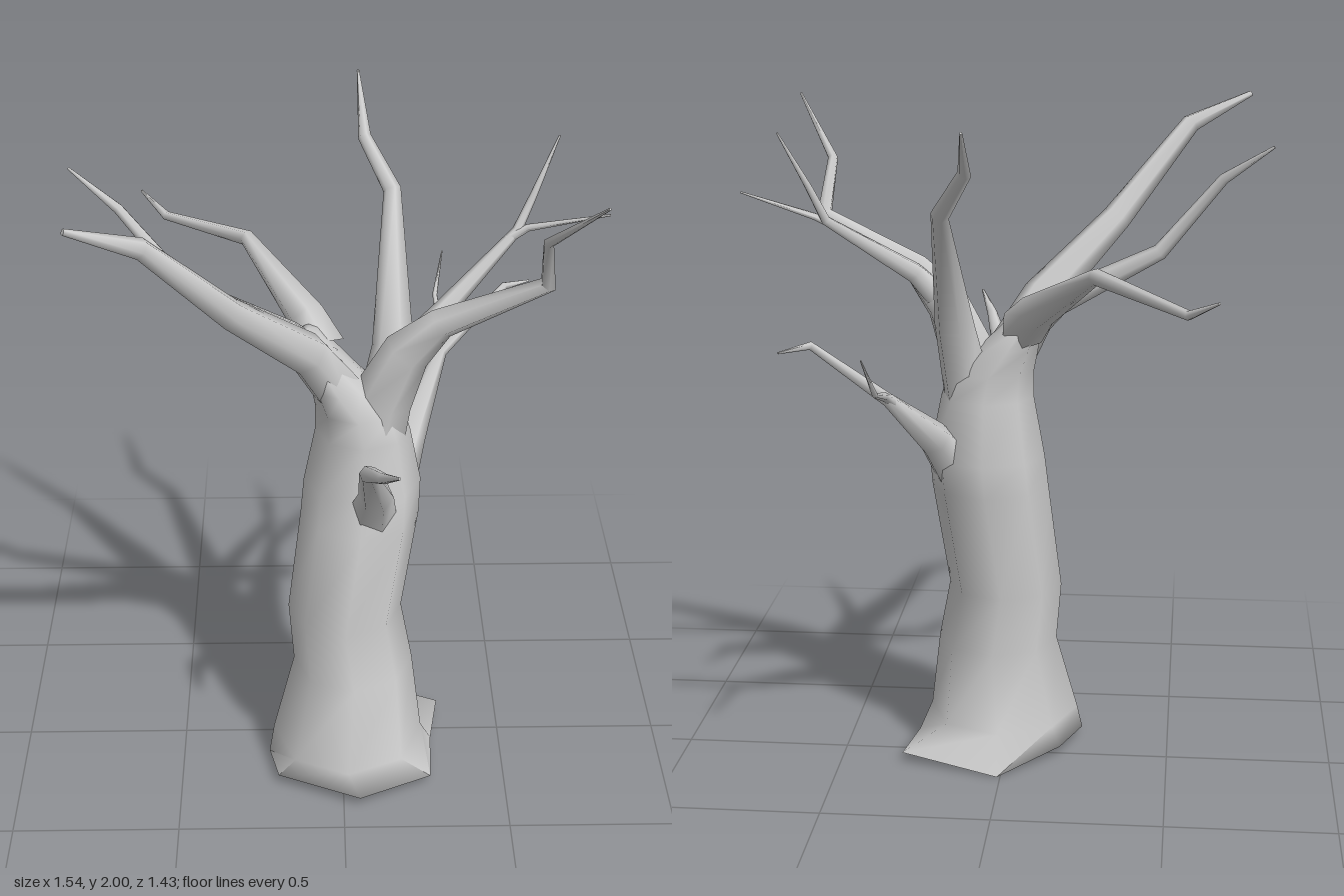
import * as THREE from 'three';
import { toCreasedNormals } from 'three/addons/utils/BufferGeometryUtils.js';

const V = (x, y, z) => new THREE.Vector3(x, y, z);
const bark = new THREE.MeshStandardMaterial({ color: 0xcccccc });

// Skin a list of equally long rings of points; a collapsed ring makes a closed end.
function skin(name, rings, crease) {
  const n = rings[0].length;
  const idx = [];
  const collapsed = rings.map((r) => r[0].distanceTo(r[1]) < 1e-6);
  for (let i = 0; i < rings.length - 1; i++) {
    for (let j = 0; j < n; j++) {
      const a = i * n + j, b = i * n + ((j + 1) % n);
      if (!collapsed[i]) idx.push(a, b, b + n);
      if (!collapsed[i + 1]) idx.push(a, b + n, a + n);
    }
  }
  let geo = new THREE.BufferGeometry().setFromPoints(rings.flat());
  geo.setIndex(idx);
  geo = toCreasedNormals(geo, crease);
  const mesh = new THREE.Mesh(geo, bark);
  mesh.name = name;
  return mesh;
}

// Tapering bent limb through points [x, y, z, radius], ending in a point.
function limb(name, pts, sides = 6) {
  const p = pts.map(([x, y, z]) => V(x, y, z));
  const u = V(0.31, 0.1, 0.95);
  const rings = p.map((c, i) => {
    const t = V(0, 0, 0);
    if (i > 0) t.add(c.clone().sub(p[i - 1]).normalize());
    if (i < p.length - 1) t.add(p[i + 1].clone().sub(c).normalize());
    t.normalize();
    u.addScaledVector(t, -u.dot(t)).normalize();
    const v = t.clone().cross(u);
    return Array.from({ length: sides }, (_, j) => {
      const a = (j / sides) * Math.PI * 2;
      return c.clone()
        .addScaledVector(u, Math.cos(a) * pts[i][3])
        .addScaledVector(v, Math.sin(a) * pts[i][3]);
    });
  });
  const end = p[p.length - 1];
  rings.push(Array.from({ length: sides }, () => end.clone()));
  return skin(name, rings, 1.3);
}

// Trunk: uneven root footprint, then eight-sided ovals [y, xMin, xMax, zMin, zMax]
// that lean to the right where the left bough leaves.
function trunk() {
  const foot = [
    [0.28, 0.03, 0.09], [0.31, 0.03, -0.11], [0.01, 0, -0.2], [-0.17, 0.03, -0.02],
    [-0.23, 0.03, 0.15], [-0.2, 0.03, 0.28], [0.05, 0.03, 0.4], [0.27, 0.03, 0.29],
  ].map((c) => V(...c));
  const levels = [
    [0.11, -0.215, 0.245, -0.135, 0.385],
    [0.35, -0.15, 0.215, -0.1, 0.295],
    [0.53, -0.165, 0.18, -0.1, 0.26],
    [0.85, -0.125, 0.23, -0.12, 0.24],
    [0.95, -0.115, 0.235, -0.13, 0.205],
    [1.13, -0.08, 0.2, -0.09, 0.2],
    [1.21, -0.08, 0.172, -0.085, 0.19],
    [1.29, -0.095, 0.075, -0.08, 0.185],
    [1.37, -0.112, -0.005, -0.07, 0.175],
    [1.43, -0.13, -0.06, -0.03, 0.13],
  ];
  const rings = levels.map(([y, x0, x1, z0, z1]) => foot.map((_, j) => {
    const a = (j * Math.PI) / 4;
    return V((x0 + x1) / 2 + ((x1 - x0) / 2) * Math.cos(a), y,
      (z0 + z1) / 2 - ((z1 - z0) / 2) * Math.sin(a));
  }));
  const point = (x, y, z) => foot.map(() => V(x, y, z));
  return skin('trunk', [point(0.04, 0.05, 0.1), foot, ...rings, point(-0.1, 1.45, 0.05)], 2);
}

export function createModel() {
  const tree = new THREE.Group();
  tree.name = 'bareTree';
  tree.add(trunk());

  const limbs = {
    // Right boughs, from the top of the trunk
    rightFrontBough: [[-0.02, 1.28, 0.08, 0.075], [-0.1, 1.42, 0.15, 0.064], [-0.31, 1.63, 0.33, 0.045],
      [-0.53, 1.9, 0.51, 0.03], [-0.715, 1.985, 0.6, 0.009]],
    rightSideBough: [[-0.05, 1.34, 0.04, 0.06], [-0.15, 1.425, 0.03, 0.042], [-0.45, 1.58, 0.02, 0.024],
      [-0.63, 1.8, -0.01, 0.016], [-0.77, 1.9, -0.068, 0.004]],
    rightBackBough: [[-0.05, 1.35, -0.005, 0.07], [-0.1, 1.42, -0.09, 0.058], [-0.28, 1.57, -0.34, 0.024],
      [-0.54, 1.525, -0.63, 0.014], [-0.62, 1.575, -0.715, 0.004]],
    // Left boughs, from the shoulder of the trunk
    leftFrontBough: [[0.08, 1.08, 0.07, 0.1], [0.115, 1.24, 0.08, 0.09], [0.185, 1.4, 0.1, 0.07], [0.28, 1.5, 0.125, 0.046],
      [0.57, 1.65, 0.195, 0.026], [0.555, 1.81, 0.28, 0.016], [0.685, 1.985, 0.472, 0.004]],
    leftSideBough: [[0.17, 1.38, 0.1, 0.05], [0.28, 1.5, 0.06, 0.032], [0.51, 1.68, -0.12, 0.015],
      [0.555, 1.78, -0.14, 0.011], [0.63, 1.94, -0.2, 0.003]],
    leftSideTwig: [[0.48, 1.66, -0.1, 0.014], [0.54, 1.69, -0.115, 0.011], [0.77, 1.75, -0.06, 0.003]],
    backBough: [[0.11, 1.12, 0.03, 0.08], [0.15, 1.36, -0.02, 0.062], [0.155, 1.73, -0.32, 0.027],
      [0.075, 1.86, -0.415, 0.02], [0.06, 1.995, -0.625, 0.004]],
    // Lower branches
    lowerBackBranch: [[0.14, 0.9, 0.02, 0.08], [0.205, 1.03, -0.09, 0.052], [0.31, 1.2, -0.31, 0.02],
      [0.51, 1.375, -0.41, 0.012], [0.59, 1.365, -0.47, 0.003]],
    lowerBackTwig: [[0.29, 1.18, -0.28, 0.016], [0.315, 1.215, -0.34, 0.013], [0.305, 1.275, -0.57, 0.008], [0.33, 1.39, -0.65, 0.002]],
    lowerFrontBranch: [[0.085, 0.86, 0.12, 0.08], [0.095, 1.01, 0.25, 0.052], [0.065, 1.21, 0.48, 0.026],
      [0.1, 1.27, 0.61, 0.016], [0.14, 1.325, 0.71, 0.004]],
  };
  for (const [name, pts] of Object.entries(limbs)) tree.add(limb(name, pts));
  return tree;
}
